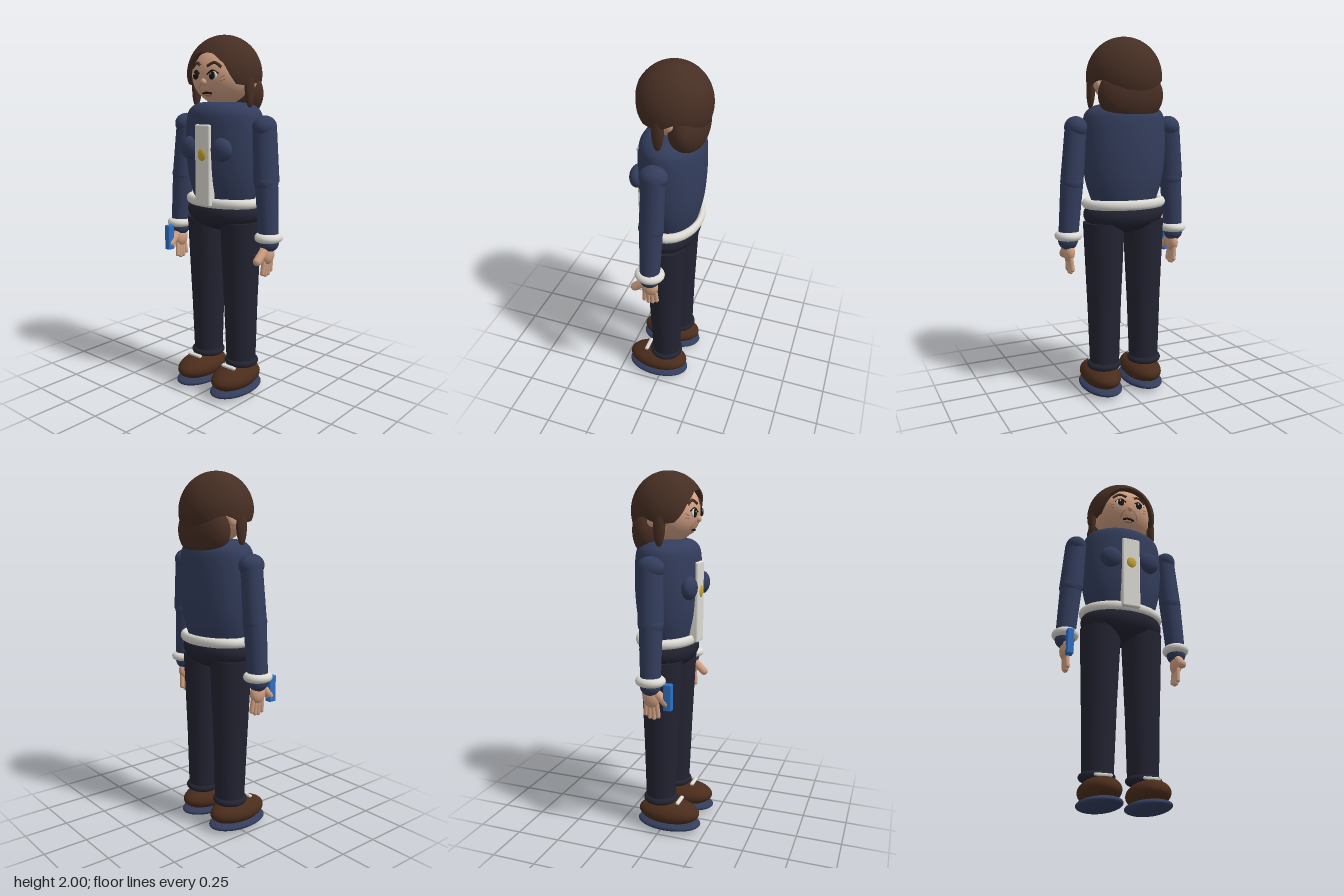
import * as THREE from 'three';
import { RoundedBoxGeometry } from 'three/addons/geometries/RoundedBoxGeometry.js';
import { ParametricGeometry } from 'three/addons/geometries/ParametricGeometry.js';

const V = (x, y, z) => new THREE.Vector3(x, y, z);
const material = (name, color) => Object.assign(new THREE.MeshStandardMaterial({ color }), { name });

export function createModel() {
  const model = new THREE.Group();
  model.name = 'standingFigure';
  const navy = material('jacketNavy', 0x333d5c);
  const trousers = material('trouserDark', 0x222331);
  const hair = material('hairBrown', 0x462e23);
  const leather = material('shoeBrown', 0x4a2c1b);
  const skin = material('skin', 0xd0a083);
  const white = material('trimWhite', 0xdcdad3);
  const gold = material('buttonGold', 0xc8a437);
  const blue = material('phoneBlue', 0x2f70c4);
  const dark = material('eyeDark', 0x1e1614);
  const pink = material('lipPink', 0xa5685f);
  hair.side = THREE.DoubleSide;

  // ---- helpers ----
  function add(name, geometry, mat, x = 0, y = 0, z = 0) {
    const mesh = new THREE.Mesh(geometry, mat);
    mesh.name = name;
    mesh.position.set(x, y, z);
    model.add(mesh);
    return mesh;
  }
  function ball(name, mat, [x, y, z], [rx, ry, rz], detail = 32) {
    return add(name, new THREE.SphereGeometry(1, detail, detail * 0.75).scale(rx, ry, rz), mat, x, y, z);
  }
  function limb(name, mat, a, b, ra, rb) {
    const axis = b.clone().sub(a);
    const mesh = add(name, new THREE.CylinderGeometry(rb, ra, axis.length(), 32), mat);
    mesh.position.copy(a).add(b).multiplyScalar(0.5);
    mesh.quaternion.setFromUnitVectors(V(0, 1, 0), axis.normalize());
    return mesh;
  }
  function capsule(name, mat, a, b, r) {
    const axis = b.clone().sub(a);
    const mesh = add(name, new THREE.CapsuleGeometry(r, axis.length(), 6, 14), mat);
    mesh.position.copy(a).add(b).multiplyScalar(0.5);
    mesh.quaternion.setFromUnitVectors(V(0, 1, 0), axis.normalize());
    return mesh;
  }
  function ring(name, mat, x, y, z, rx, rz, tube) {
    const g = new THREE.TorusGeometry(1, tube / rx, 16, 48).rotateX(Math.PI / 2);
    return add(name, g.scale(rx, rx, rz), mat, x, y, z);
  }

  // ---- jacket body ----
  const outline = new THREE.SplineCurve([
    [0.175, 1.09], [0.2, 1.15], [0.225, 1.24], [0.238, 1.35], [0.24, 1.46],
    [0.233, 1.56], [0.215, 1.605], [0.17, 1.635], [0.1, 1.646], [0, 1.648],
  ].map(([r, y]) => new THREE.Vector2(r, y))).getPoints(40);
  outline.forEach((p) => { p.x = Math.max(p.x, 0); });
  add('jacketBody', new THREE.LatheGeometry(outline, 48).scale(1, 1, 0.73), navy, 0, 0, -0.018);
  ring('waistBand', white, 0, 1.105, -0.02, 0.218, 0.152, 0.027);
  add('frontPlacket', new RoundedBoxGeometry(0.106, 0.44, 0.05, 3, 0.01), white, 0, 1.31, 0.143);
  ball('button', gold, [0, 1.37, 0.164], [0.03, 0.035, 0.013], 24);

  // ---- hips ----
  ball('hips', trousers, [0, 1.045, -0.015], [0.237, 0.11, 0.157]);

  // ---- head ----
  const headCentre = V(0, 1.79, -0.01), headSize = V(0.177, 0.162, 0.162);
  ball('head', skin, headCentre.toArray(), headSize.toArray(), 48);
  const onFace = (x, y, lift = 0) => {
    const k = 1 - (x / headSize.x) ** 2 - ((y - headCentre.y) / headSize.y) ** 2;
    return V(x, y, headCentre.z + headSize.z * Math.sqrt(Math.max(k, 0)) + lift);
  };
  function faceLine(name, mat, points, radius, lift = 0) {
    const curve = new THREE.CatmullRomCurve3(points.map(([x, y]) => onFace(x, y, lift)));
    add(name, new THREE.TubeGeometry(curve, 12, radius, 8), mat);
  }
  ball('nose', skin, onFace(0, 1.752).toArray(), [0.017, 0.018, 0.018], 20);
  faceLine('mouth', dark, [[-0.034, 1.692], [0, 1.696], [0.034, 1.692]], 0.006, 0.002);
  faceLine('lowerLip', pink, [[-0.022, 1.684], [0, 1.682], [0.022, 1.684]], 0.006, 0.001);

  // ---- hair: cap whose lower edge follows a list of heights around the head ----
  const edge = [[0, 1.905], [20, 1.895], [38, 1.845], [50, 1.78], [60, 1.742], [76, 1.735],
    [95, 1.745], [112, 1.772], [128, 1.762], [150, 1.722], [181, 1.71]];
  function edgeHeight(degrees) {
    const i = Math.max(1, edge.findIndex((e) => e[0] >= degrees));
    const [a, ya] = edge[i - 1], [b, yb] = edge[i];
    return THREE.MathUtils.lerp(ya, yb, (degrees - a) / (b - a));
  }
  const cap = new ParametricGeometry((u, v, target) => {
    const a = Math.PI - u * Math.PI * 2;
    const limit = Math.acos((edgeHeight(Math.abs(a) * 180 / Math.PI) - 1.79) / 0.21);
    const theta = 0.002 + limit * Math.min(v / 0.94, 1);
    const s = v > 0.94 ? 1 - (v - 0.94) * 3 : 1; // lip turns in towards the head
    target.set(0.208 * s * Math.sin(theta) * Math.sin(a), 1.79 + 0.21 * Math.cos(theta),
      -0.02 + 0.2 * s * Math.sin(theta) * Math.cos(a));
  }, 96, 50);
  add('hairCap', cap, hair);
  ball('backHair', hair, [0, 1.69, -0.105], [0.188, 0.155, 0.1], 40);

  // ---- mirrored parts ----
  for (const s of [-1, 1]) {
    const side = s > 0 ? 'left' : 'right';

    // face details
    const eye = onFace(s * 0.057, 1.785);
    ball(side + 'EyeWhite', white, [eye.x, eye.y, eye.z - 0.002], [0.029, 0.023, 0.009], 24);
    ball(side + 'Iris', dark, [eye.x, eye.y, eye.z + 0.005], [0.02, 0.022, 0.008], 24);
    ball(side + 'EyeGlint', white, [eye.x - 0.006, eye.y + 0.008, eye.z + 0.012], [0.005, 0.005, 0.002], 12);
    faceLine(side + 'Lash', dark, [[s * 0.026, 1.79], [s * 0.055, 1.811], [s * 0.09, 1.793]], 0.004, 0.002);
    faceLine(side + 'Brow', hair, [[s * 0.022, 1.832], [s * 0.06, 1.85], [s * 0.1, 1.825]], 0.008, 0.001);
    faceLine(side + 'SmileLine', pink, [[s * 0.024, 1.745], [s * 0.046, 1.72], [s * 0.05, 1.698]], 0.002);
    for (const dy of [0, 0.014])
      faceLine(side + 'CheekLine', pink, [[s * 0.09, 1.758 + dy], [s * 0.115, 1.764 + dy * 1.5]], 0.002);
    ball(side + 'Ear', skin, [s * 0.172, 1.75, -0.045], [0.018, 0.035, 0.03], 20);

    // hair strand beside the face
    const strand = ball(side + 'HairStrand', hair, [s * 0.188, 1.73, -0.002], [0.022, 0.115, 0.033], 24);
    strand.rotation.z = s * 0.04;

    // jacket pocket
    ball(side + 'ChestPocket', navy, [s * 0.112, 1.4, 0.137], [0.065, 0.063, 0.043]);

    // sleeve
    const shoulder = V(s * 0.282, 1.52, -0.013), elbow = V(s * 0.305, 1.23, -0.005), wrist = V(s * 0.328, 0.93, 0);
    ball(side + 'Shoulder', navy, shoulder.toArray(), [0.06, 0.06, 0.073]);
    const upper = limb(side + 'UpperSleeve', navy, shoulder, elbow, 0.058, 0.062);
    upper.scale.z = 1.12;
    ball(side + 'Elbow', navy, elbow.toArray(), [0.062, 0.062, 0.067]);
    limb(side + 'LowerSleeve', navy, elbow, wrist, 0.062, 0.054);
    ring(side + 'SleeveTrim', white, s * 0.328, 0.937, 0, 0.05, 0.055, 0.024);
    ball(side + 'SleeveEnd', navy, [s * 0.33, 0.91, 0], [0.054, 0.052, 0.055]);

    // hand
    ball(side + 'Palm', skin, [s * 0.325, 0.845, 0.003], [0.031, 0.055, 0.048], 24);
    for (let i = 0; i < 4; i++) {
      const z = -0.033 + i * 0.024, tip = [0.75, 0.735, 0.732, 0.742][i];
      capsule(side + 'Finger', skin, V(s * 0.325, 0.83, z * 0.8), V(s * 0.318, tip, z), 0.0125);
    }
    capsule(side + 'Thumb', skin, V(s * 0.325, 0.865, 0.04), V(s * 0.323, 0.82, 0.09), 0.024);

    // trouser leg
    const hip = V(s * 0.122, 1.0, -0.015), knee = V(s * 0.124, 0.53, -0.018), ankle = V(s * 0.125, 0.16, -0.022);
    limb(side + 'Thigh', trousers, hip, knee, 0.116, 0.095);
    ball(side + 'Knee', trousers, knee.toArray(), [0.095, 0.095, 0.095]);
    limb(side + 'Shin', trousers, knee, ankle, 0.095, 0.083);
    ring(side + 'TrouserHem', trousers, s * 0.128, 0.178, -0.022, 0.077, 0.077, 0.02);

    // shoe
    ball(side + 'Sole', navy, [s * 0.13, 0.034, 0.03], [0.111, 0.034, 0.187], 40);
    ball(side + 'ShoeUpper', leather, [s * 0.13, 0.098, 0.03], [0.105, 0.07, 0.18], 40);
    add(side + 'Lace', new RoundedBoxGeometry(0.095, 0.016, 0.022, 2, 0.006), white, s * 0.13, 0.17, 0.095)
      .rotation.x = 0.25;
  }

  // ---- phone held in the right hand ----
  add('phone', new RoundedBoxGeometry(0.037, 0.145, 0.045, 2, 0.006), blue, -0.326, 0.857, 0.097);

  return model;
}
